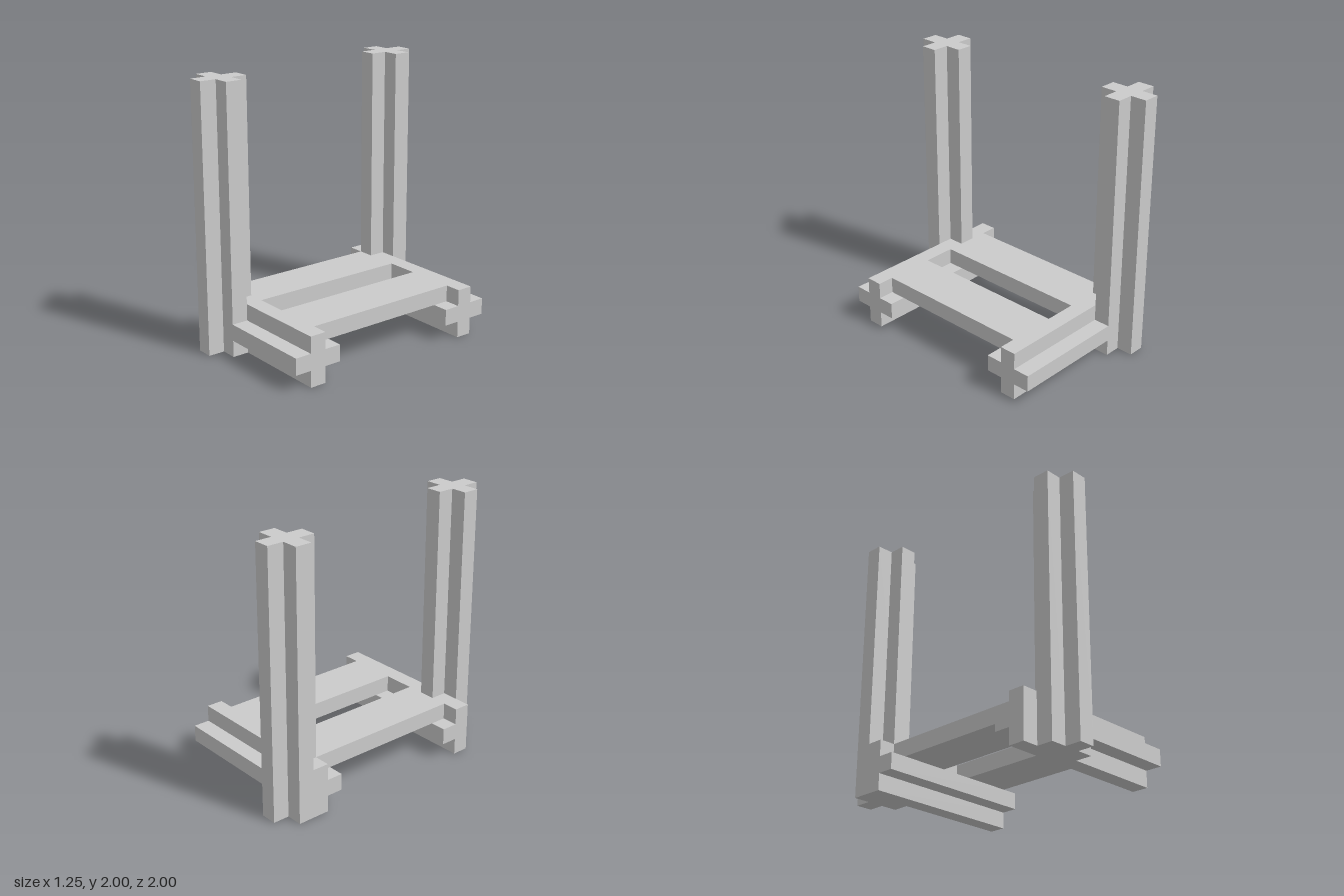
import * as THREE from 'three';

const U = 0.125; // one stick width

export function createModel() {
  const group = new THREE.Group();
  const material = new THREE.MeshStandardMaterial({ color: 0xcccccc, flatShading: true });

  const add = (name, geometry, x, y, z, turn = 0) => {
    const mesh = new THREE.Mesh(geometry, material);
    mesh.name = name;
    mesh.position.set(x, y, z);
    mesh.rotation.y = turn;
    group.add(mesh);
  };

  // box given by its min and max on each axis
  const addBox = (name, x0, x1, y0, y1, z0, z1) =>
    add(name, new THREE.BoxGeometry(x1 - x0, y1 - y0, z1 - z0),
      (x0 + x1) / 2, (y0 + y1) / 2, (z0 + z1) / 2);

  // T-section: three sticks side by side with a fourth on the middle one,
  // standing along y, stem towards -z
  const tee = (length) => {
    const points = [[-1.5, 0], [1.5, 0], [1.5, 1], [0.5, 1], [0.5, 2], [-0.5, 2], [-0.5, 1], [-1.5, 1]];
    const shape = new THREE.Shape(points.map(([x, y]) => new THREE.Vector2(x * U, y * U)));
    return new THREE.ExtrudeGeometry(shape, { depth: length, bevelEnabled: false }).rotateX(-Math.PI / 2);
  };

  // each end: a low beam along x and a tall post, both plus-shaped and interlocked
  const ends = [
    { label: 'front', s: 1, postX: -2.5 * U },
    { label: 'back', s: -1, postX: -3.5 * U },
  ];
  for (const { label, s, postX } of ends) {
    const z = s * 6 * U;

    // beam: T facing inwards, plus the outer arm beside the post
    add(label + 'Beam', tee(10 * U).rotateZ(-Math.PI / 2), -s * 5 * U, 1.5 * U, z, s > 0 ? 0 : Math.PI);
    addBox(label + 'BeamOuterArm', postX + 1.5 * U, 5 * U, U, 2 * U,
      Math.min(z, z + s * U), Math.max(z, z + s * U));

    // post: T facing outwards, plus the inner arm resting on the beam
    add(label + 'Post', tee(2), postX, 0, z, s > 0 ? Math.PI : 0);
    addBox(label + 'PostInnerArm', postX - U / 2, postX + U / 2, 3 * U, 2,
      Math.min(z, z - s * U), Math.max(z, z - s * U));
  }

  // two flat planks joining the beams
  addBox('rightPlank', -4 * U, -U, 2 * U, 3 * U, -5 * U, 5 * U);
  addBox('leftPlank', U, 4 * U, 2 * U, 3 * U, -5 * U, 5 * U);

  return group;
}
